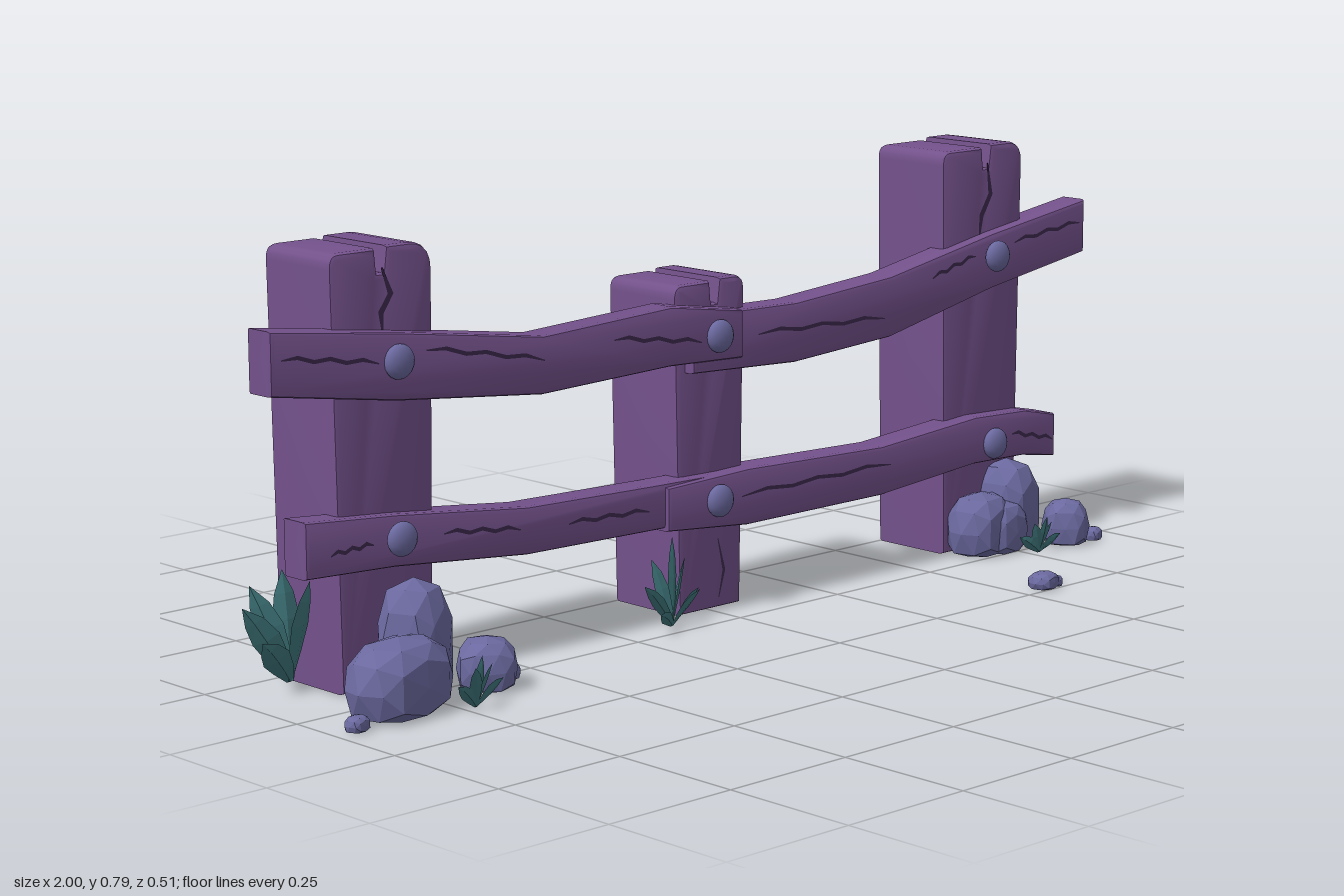
import * as THREE from 'three';
import { toCreasedNormals } from 'three/addons/utils/BufferGeometryUtils.js';

const mat = (name, color, extra = {}) => {
  const m = new THREE.MeshStandardMaterial({ color, ...extra });
  m.name = name;
  return m;
};

export function createModel() {
  const root = new THREE.Group();
  root.name = 'fence';
  const wood = mat('purple wood', 0x74528c);
  const crackMat = mat('dark crack', 0x3c294c);
  const stone = mat('blue grey stone', 0x6b699f, { flatShading: true });
  const iron = mat('blue grey iron', 0x6b699f);
  const leafMat = mat('teal leaf', 0x3f777c, { side: THREE.DoubleSide, flatShading: true });

  const add = (name, geometry, material, parent = root) => {
    const mesh = new THREE.Mesh(geometry, material);
    mesh.name = name;
    parent.add(mesh);
    return mesh;
  };

  // Bevelled slab from an outline, filling z = back..front
  const slab = (shape, back, front, bevel) => {
    const g = new THREE.ExtrudeGeometry(shape, {
      depth: front - back - 2 * bevel, bevelThickness: bevel, bevelSize: bevel,
      bevelOffset: -bevel, bevelSegments: 2, curveSegments: 5,
    });
    g.translate(0, 0, back + bevel);
    return toCreasedNormals(g, 0.6);
  };

  // Thin tapering ribbon along a jagged line
  const crack = (pts, z, width = 0.007) => {
    const up = [], down = [];
    pts.forEach(([x, y], i) => {
      const a = pts[Math.max(i - 1, 0)], b = pts[Math.min(i + 1, pts.length - 1)];
      const l = Math.hypot(b[0] - a[0], b[1] - a[1]);
      const w = (i === 0 || i === pts.length - 1 ? 0.15 : 0.5) * width;
      const nx = -(b[1] - a[1]) / l * w, ny = (b[0] - a[0]) / l * w;
      up.push(new THREE.Vector2(x + nx, y + ny));
      down.unshift(new THREE.Vector2(x - nx, y - ny));
    });
    const g = new THREE.ShapeGeometry(new THREE.Shape([...up, ...down]));
    g.translate(0, 0, z);
    add('crack', g, crackMat);
  };

  // Posts with a split top
  const post = (name, x0, x1, h, split, rise, r) => {
    const s = new THREE.Shape();
    s.moveTo(x0 + 0.012, 0);
    s.lineTo(x1 - 0.01, 0);
    s.lineTo(x1, h - r);
    s.quadraticCurveTo(x1, h, x1 - r, h);
    s.lineTo(split + 0.012, h);
    s.lineTo(split + 0.006, h - 0.045);
    s.lineTo(split - 0.006, h - 0.045);
    s.lineTo(split - 0.01, h + rise);
    s.lineTo(x0 + 0.02, h + rise);
    s.quadraticCurveTo(x0, h + rise, x0, h + rise - 0.025);
    s.closePath();
    add(name, slab(s, -0.255, -0.08, 0.01), wood);
  };
  post('rightPost', -0.853, -0.635, 0.745, -0.745, -0.003, 0.05);
  post('middlePost', -0.085, 0.09, 0.607, 0.015, -0.004, 0.025);
  post('leftPost', 0.613, 0.838, 0.785, 0.735, -0.005, 0.04);
  crack([[-0.745, 0.71], [-0.727, 0.665], [-0.748, 0.635], [-0.745, 0.6]], -0.079, 0.012);
  crack([[0.735, 0.75], [0.745, 0.69], [0.72, 0.65], [0.715, 0.61]], -0.079, 0.012);
  crack([[0.02, 0.13], [0.035, 0.07], [0.022, 0.02]], -0.079);

  // Bent rails, each station is [x, bottom, top]
  const rail = (name, stations, back, front, cracks) => {
    const pts = [...stations.map(([x, b]) => [x, b]), ...stations.map(([x, , t]) => [x, t]).reverse()];
    add(name, slab(new THREE.Shape(pts.map(p => new THREE.Vector2(...p))), back, front, 0.008), wood);
    for (const [x0, y0, x1, y1] of cracks) {
      const line = [];
      for (let i = 0; i <= 6; i++) {
        const t = i / 6;
        line.push([x0 + (x1 - x0) * t, y0 + (y1 - y0) * t + (i % 2 ? 0.004 : -0.002)]);
      }
      crack(line, front + 0.001);
    }
  };
  rail('upperRightRail', [[-1, 0.53, 0.637], [-0.74, 0.49, 0.605], [-0.42, 0.458, 0.56],
    [-0.12, 0.468, 0.575], [0.055, 0.462, 0.55]], -0.11, -0.047,
  [[-0.98, 0.59, -0.78, 0.56], [-0.68, 0.57, -0.42, 0.52], [-0.26, 0.535, -0.05, 0.505]]);
  rail('upperLeftRail', [[-0.06, 0.445, 0.55], [0.2, 0.434, 0.545], [0.45, 0.45, 0.565],
    [0.73, 0.51, 0.617], [0.998, 0.553, 0.657]], -0.122, -0.057,
  [[0.1, 0.5, 0.43, 0.49], [0.56, 0.55, 0.68, 0.58], [0.79, 0.595, 0.98, 0.615]]);
  rail('lowerRightRail', [[-0.93, 0.215, 0.312], [-0.74, 0.207, 0.297], [-0.45, 0.18, 0.265],
    [-0.15, 0.175, 0.258], [0.03, 0.175, 0.255]], -0.12, -0.057,
  [[-0.88, 0.25, -0.79, 0.255], [-0.64, 0.25, -0.47, 0.23], [-0.36, 0.222, -0.17, 0.215]]);
  rail('lowerLeftRail', [[-0.13, 0.17, 0.25], [0.07, 0.152, 0.257], [0.42, 0.153, 0.247],
    [0.68, 0.175, 0.267], [0.82, 0.172, 0.262], [0.91, 0.158, 0.243]], -0.115, -0.048,
  [[0.05, 0.21, 0.44, 0.212], [0.78, 0.222, 0.9, 0.195]]);

  // Domed bolts
  for (const [x, y] of [[-0.74, 0.557], [-0.008, 0.51], [0.728, 0.575], [-0.74, 0.258], [-0.008, 0.21], [0.728, 0.21]]) {
    const b = add('bolt', new THREE.SphereGeometry(0.03, 16, 10), iron);
    b.scale.z = 0.55;
    b.position.set(x, y, -0.043);
  }

  // Faceted stones: centre x, z, half width, height, half depth, turn
  const rock = (x, z, w, h, d, turn) => {
    const g = new THREE.IcosahedronGeometry(1, 1);
    const p = g.attributes.position;
    const boxy = v => Math.sign(v) * Math.pow(Math.abs(v), 0.8);
    for (let i = 0; i < p.count; i++) {
      const v = new THREE.Vector3().fromBufferAttribute(p, i);
      const k = 1 + 0.07 * Math.sin(v.x * 5 + turn * 7) * Math.cos(v.z * 4 + v.y * 3);
      const y = Math.max(0, 0.4 + 0.6 * boxy(v.y));
      p.setXYZ(i, boxy(v.x) * k * w, y * h, boxy(v.z) * k * d);
    }
    g.rotateY(turn);
    g.translate(x, 0, z);
    g.computeVertexNormals();
    add('rock', g, stone);
  };
  [
    [-0.84, 0.065, 0.1, 0.13, 0.068, 0.2], [-0.745, -0.01, 0.065, 0.2, 0.062, 0.5],
    [-0.635, 0.045, 0.053, 0.09, 0.052, 0.9], [-0.955, 0.1, 0.022, 0.027, 0.018, 0.3],
    [-0.568, 0.025, 0.022, 0.027, 0.018, 0.6],
    [0.69, -0.045, 0.07, 0.12, 0.055, 0.2], [0.785, -0.065, 0.062, 0.17, 0.062, 0.3],
    [0.73, -0.02, 0.055, 0.1, 0.035, 0.1], [0.868, 0.018, 0.043, 0.09, 0.045, 0.7],
    [0.93, 0.035, 0.02, 0.026, 0.018, 0.4],
    [0.56, 0.232, 0.03, 0.032, 0.026, 0.2], [0.59, 0.236, 0.014, 0.02, 0.013, 0.5],
  ].forEach(r => rock(...r));

  // Pointed leaf swept from base to tip with a flat diamond section
  const leaf = (base, tip, width, parent) => {
    const a = new THREE.Vector3(...base), c = new THREE.Vector3(...tip);
    const mid = a.clone().lerp(c, 0.5);
    mid.y += 0.12 * a.distanceTo(c);
    const curve = new THREE.QuadraticBezierCurve3(a, mid, c);
    const widths = [0.25, 0.75, 1, 0.7, 0.02];
    const out = new THREE.Vector3(c.x - a.x, 0, c.z - a.z + 0.02).normalize();
    const pos = [], index = [];
    widths.forEach((f, i) => {
      const t = i / (widths.length - 1), q = curve.getPoint(t), dir = curve.getTangent(t);
      // Blades face partly forward so they read broad from the front
      const side = new THREE.Vector3().crossVectors(dir, out.clone().add(new THREE.Vector3(0, 0, 0.9))).normalize();
      const nor = new THREE.Vector3().crossVectors(side, dir).normalize();
      for (const [s, n] of [[1, 0], [0, 0.3], [-1, 0], [0, -0.3]]) {
        const v = q.clone().addScaledVector(side, s * f * width / 2).addScaledVector(nor, n * f * width / 2);
        pos.push(v.x, v.y, v.z);
      }
      if (i) for (let k = 0; k < 4; k++) {
        const o = (i - 1) * 4, n = (k + 1) % 4;
        index.push(o + k, o + n, o + 4 + k, o + n, o + 4 + n, o + 4 + k);
      }
    });
    const g = new THREE.BufferGeometry();
    g.setAttribute('position', new THREE.Float32BufferAttribute(pos, 3));
    g.setIndex(index);
    g.computeVertexNormals();
    add('leaf', g, leafMat, parent);
  };
  const plant = (name, base, width, tips) => {
    const group = new THREE.Group();
    group.name = name;
    root.add(group);
    for (const t of tips) leaf(base, t, width, group);
  };
  plant('rightBackPlant', [-0.89, 0.02, -0.16], 0.05,
    [[-0.985, 0.16, -0.16], [-0.955, 0.19, -0.18], [-0.895, 0.21, -0.17], [-0.86, 0.19, -0.14], [-0.96, 0.1, -0.14]]);
  plant('leftBackPlant', [0.86, 0.01, -0.185], 0.052,
    [[0.875, 0.255, -0.205], [0.97, 0.155, -0.225], [0.95, 0.14, -0.235], [0.93, 0.12, -0.15], [0.9, 0.16, -0.175]]);
  plant('middlePlant', [-0.14, 0.005, -0.03], 0.025,
    [[-0.215, 0.09, -0.02], [-0.18, 0.13, -0.04], [-0.135, 0.165, -0.035], [-0.095, 0.12, -0.045],
      [-0.065, 0.06, -0.04], [-0.2, 0.04, 0.005], [-0.1, 0.07, 0.0]]);
  plant('rightFrontPlant', [-0.735, 0.005, 0.135], 0.024,
    [[-0.785, 0.05, 0.15], [-0.76, 0.08, 0.165], [-0.725, 0.09, 0.14], [-0.695, 0.07, 0.13], [-0.68, 0.045, 0.14]]);
  plant('leftFrontPlant', [0.76, 0.005, 0.045], 0.024,
    [[0.71, 0.04, 0.04], [0.735, 0.065, 0.055], [0.765, 0.075, 0.06], [0.79, 0.06, 0.05], [0.81, 0.035, 0.055]]);

  return root;
}
